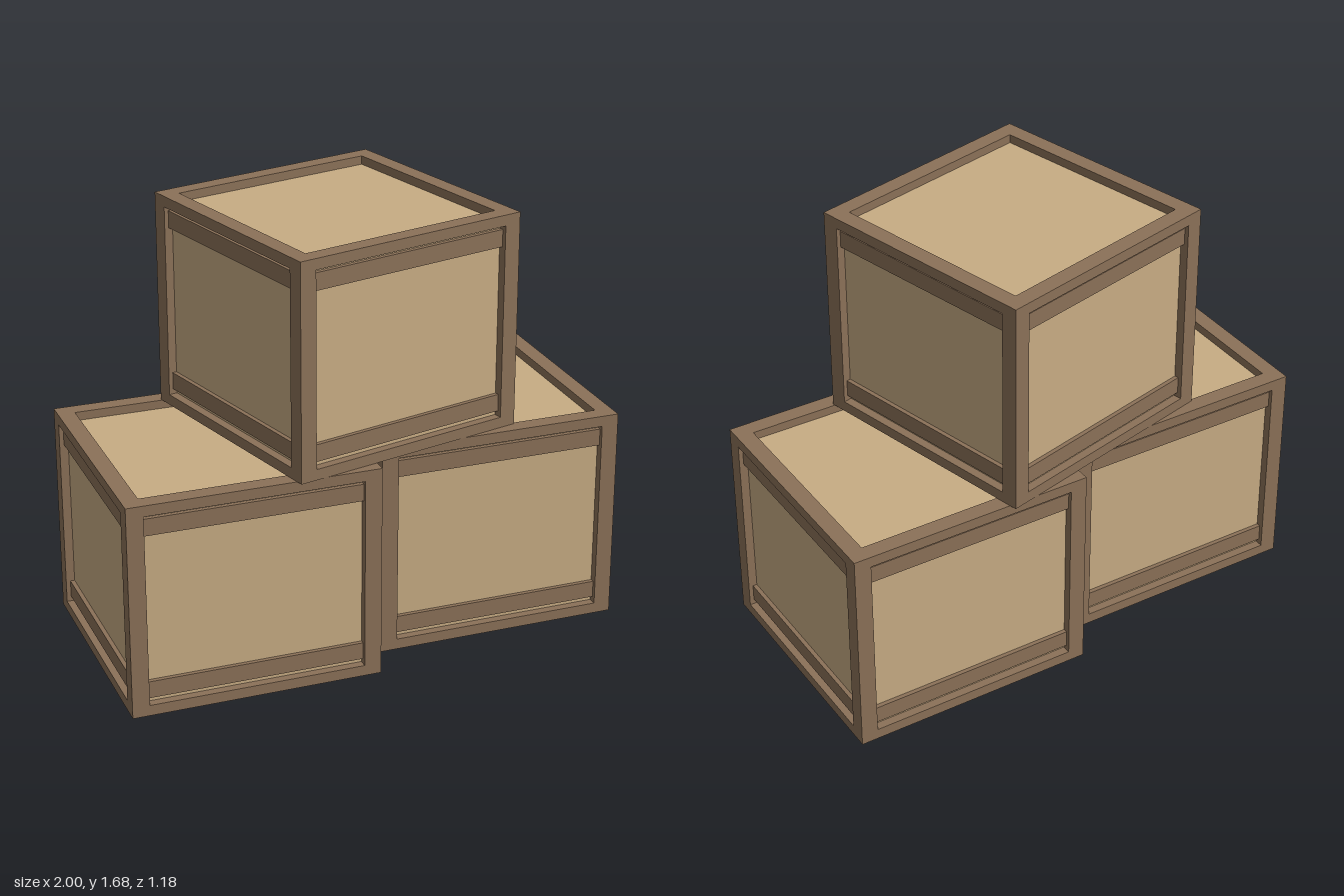
import * as THREE from 'three';

const S = 0.97, H = 0.84;        // crate width and height
const POST = 0.066, RAIL = 0.042; // frame beam width and rail height
const RECESS = 0.034;            // panel depth behind the frame

const frameMat = new THREE.MeshStandardMaterial({ name: 'dark wood frame', color: 0x8b7158 });
const panelMat = new THREE.MeshStandardMaterial({ name: 'light wood panel', color: 0xc8ac84 });

function box(parent, name, mat, size, pos) {
  const mesh = new THREE.Mesh(new THREE.BoxGeometry(...size), mat);
  mesh.name = name;
  mesh.position.set(...pos);
  parent.add(mesh);
}

function createCrate(name) {
  const crate = new THREE.Group();
  crate.name = name;
  const span = S - 2 * POST;
  const edge = (S - POST) / 2;

  // recessed panels form one solid core
  box(crate, 'panels', panelMat, [S - 2 * RECESS, H - 2 * RECESS, S - 2 * RECESS], [0, H / 2, 0]);

  // corner posts
  for (const x of [-edge, edge])
    for (const z of [-edge, edge])
      box(crate, 'cornerPost', frameMat, [POST, H, POST], [x, H / 2, z]);

  // each side: flush rails at top and bottom, and inset battens
  for (let i = 0; i < 4; i++) {
    const side = new THREE.Group();
    side.name = 'side';
    side.rotation.y = i * Math.PI / 2;
    for (const y of [RAIL / 2, H - RAIL / 2])
      box(side, 'rail', frameMat, [span, RAIL, POST], [0, y, edge]);
    for (const y of [0.096, H - 0.093])
      box(side, 'batten', frameMat, [span, 0.067, 0.04], [0, y, S / 2 - RECESS / 2 - 0.02]);
    crate.add(side);
  }
  return crate;
}

export function createModel() {
  const model = new THREE.Group();
  model.name = 'crateStack';

  const rightCrate = createCrate('rightCrate');
  rightCrate.position.set(-0.515, 0, 0.075);
  const leftCrate = createCrate('leftCrate');
  leftCrate.position.set(0.515, 0, -0.075);
  // upper crate, turned a little
  const topCrate = createCrate('topCrate');
  topCrate.position.set(0, H, 0);
  topCrate.rotation.y = THREE.MathUtils.degToRad(14);

  model.add(rightCrate, leftCrate, topCrate);
  return model;
}
